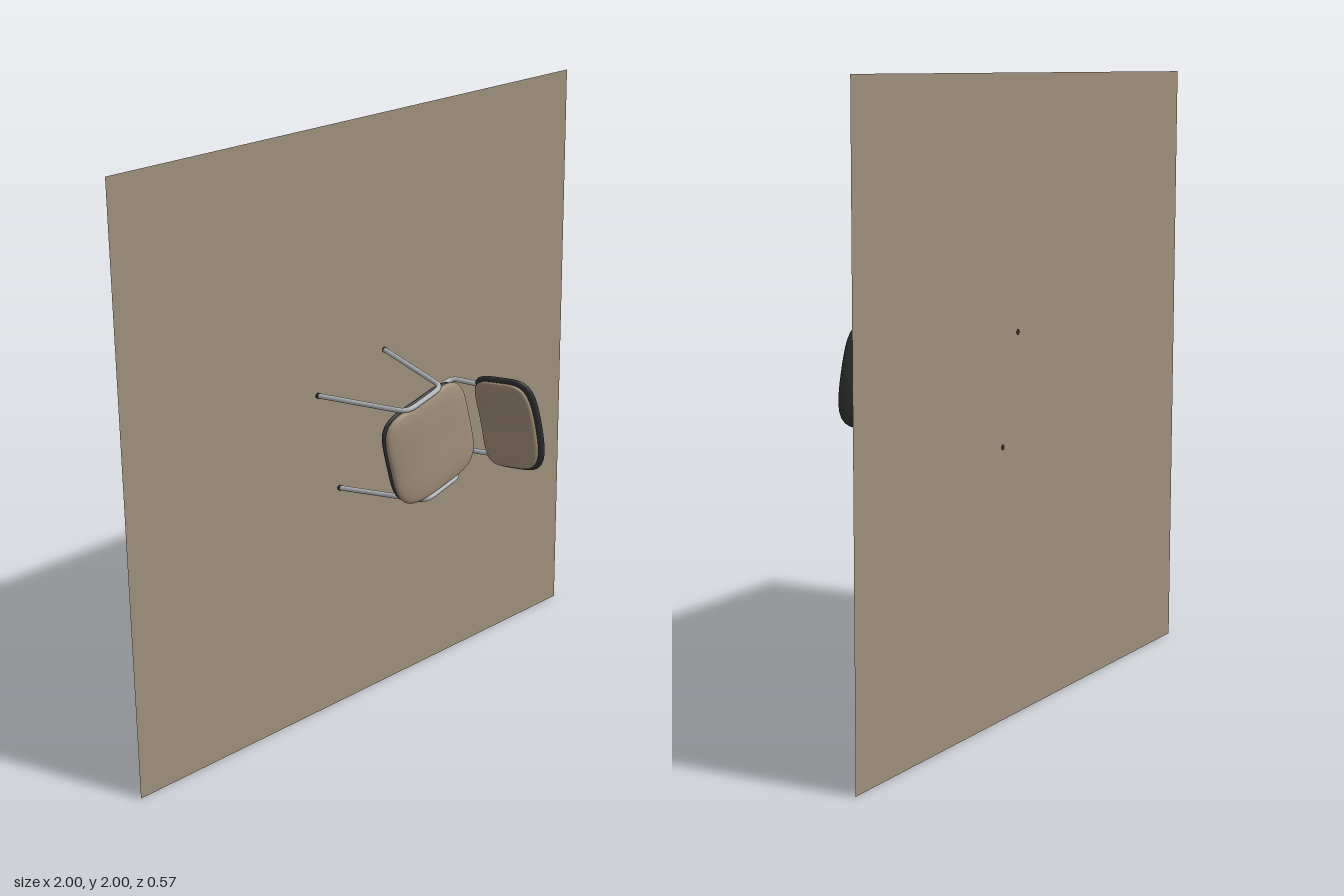
import * as THREE from 'three';
import { mergeVertices } from 'three/addons/utils/BufferGeometryUtils.js';

function material(name, color, side = THREE.FrontSide) {
  const m = new THREE.MeshStandardMaterial({ color, side });
  m.name = name;
  return m;
}

// Rounded-square cushion: a sphere squared off in outline and edge, then placed by a rule
function pad(halfW, halfD, halfT, place) {
  const g = new THREE.SphereGeometry(1, 56, 24).rotateX(Math.PI / 2);
  const p = g.attributes.position;
  const norm = (a, b, n) => Math.pow(Math.abs(a) ** n + Math.abs(b) ** n, 1 / n);
  for (let i = 0; i < p.count; i++) {
    const x = p.getX(i), y = p.getY(i), z = p.getZ(i);
    const r = Math.hypot(x, y);
    const edge = norm(r, z, 3);
    const k = r > 1e-6 ? 1 / (edge * norm(x / r, y / r, 4.5)) : 0;
    p.setXYZ(i, ...place(x * k * halfW, y * k * halfD, (z / edge) * halfT));
  }
  g.deleteAttribute('uv');
  g.deleteAttribute('normal');
  const merged = mergeVertices(g, 1e-5);
  merged.computeVertexNormals();
  return merged;
}

// Bent tube through points, with rounded corners
function bentTube(points, bend, radius) {
  const v = points.map((q) => new THREE.Vector3(...q));
  const path = new THREE.CurvePath();
  let from = v[0];
  for (let i = 1; i < v.length - 1; i++) {
    const a = v[i].clone().add(v[i - 1].clone().sub(v[i]).setLength(bend));
    const b = v[i].clone().add(v[i + 1].clone().sub(v[i]).setLength(bend));
    path.add(new THREE.LineCurve3(from, a));
    path.add(new THREE.QuadraticBezierCurve3(a, v[i], b));
    from = b;
  }
  path.add(new THREE.LineCurve3(from, v[v.length - 1]));
  return new THREE.TubeGeometry(path, 90, radius, 12);
}

export function createModel() {
  const floorMat = material('floor beige', 0x9d8e7a, THREE.DoubleSide);
  const fabric = material('cushion beige', 0xa08d77);
  const black = material('black plastic', 0x303030);
  const metal = material('grey metal', 0xb0b4b6, THREE.DoubleSide);

  const model = new THREE.Group();
  const add = (parent, name, geometry, mat) => {
    const mesh = new THREE.Mesh(geometry, mat);
    mesh.name = name;
    parent.add(mesh);
    return mesh;
  };

  // Upright square floor panel; the chair stands out from it along +z
  add(model, 'floor', new THREE.PlaneGeometry(2, 2), floorMat).position.set(0, 1, -0.284);

  // Chair frame: +x is its rear, y its width, z its height
  const chair = new THREE.Group();
  chair.name = 'chair';
  chair.position.set(-0.008, 1, 0);
  chair.rotation.z = 0.253;
  model.add(chair);

  // Seat: cushion over a thin shell, front edge dipping, middle dished
  const seatRule = (base) => (x, y, z) => {
    const u = x / 0.175, w = y / 0.168;
    return [x, y, base + z - (u < 0 ? 0.018 * u * u : 0) - 0.005 * (1 - w * w) * (1 - u * u)];
  };
  add(chair, 'seatCushion', pad(0.175, 0.167, 0.022, seatRule(0.035)), fabric);
  add(chair, 'seatShell', pad(0.17, 0.163, 0.013, seatRule(0.011)), black);

  // Backrest: leaning and wrapped forward at the sides
  const backRule = (offset) => (x, y, z) => {
    const w = x / 0.172;
    return [0.214 + offset + z + 0.24 * y - 0.016 * w * w, x, 0.18 + y];
  };
  add(chair, 'backrestShell', pad(0.172, 0.105, 0.017, backRule(0.006)), black);
  add(chair, 'backrestCushion', pad(0.16, 0.095, 0.014, backRule(-0.011)), fabric);

  for (const s of [-1, 1]) {
    const side = s > 0 ? 'left' : 'right';
    // Side frame: front leg, rail beside the seat, rear leg
    add(chair, side + 'LegFrame', bentTube([
      [-0.157, s * 0.179, -0.282], [-0.082, s * 0.169, 0.042],
      [0.082, s * 0.169, 0.042], [0.157, s * 0.179, -0.282],
    ], 0.035, 0.0085), metal);

    // Backrest support, curving up from under the seat
    add(chair, side + 'BackSupport', bentTube([
      [0.03, s * 0.137, 0.002], [0.12, s * 0.137, -0.006],
      [0.172, s * 0.137, -0.004], [0.195, s * 0.132, 0.13],
    ], 0.025, 0.0085), metal);

    // Feet; the rear pair just breaks through the floor
    for (const e of [-1, 1]) {
      const foot = add(chair, side + (e < 0 ? 'FrontFoot' : 'RearFoot'),
        new THREE.CylinderGeometry(0.0092, 0.0092, 0.008, 12).rotateX(Math.PI / 2), black);
      foot.position.set(e * 0.157, s * 0.179, e < 0 ? -0.279 : -0.281);
    }
  }
  return model;
}
